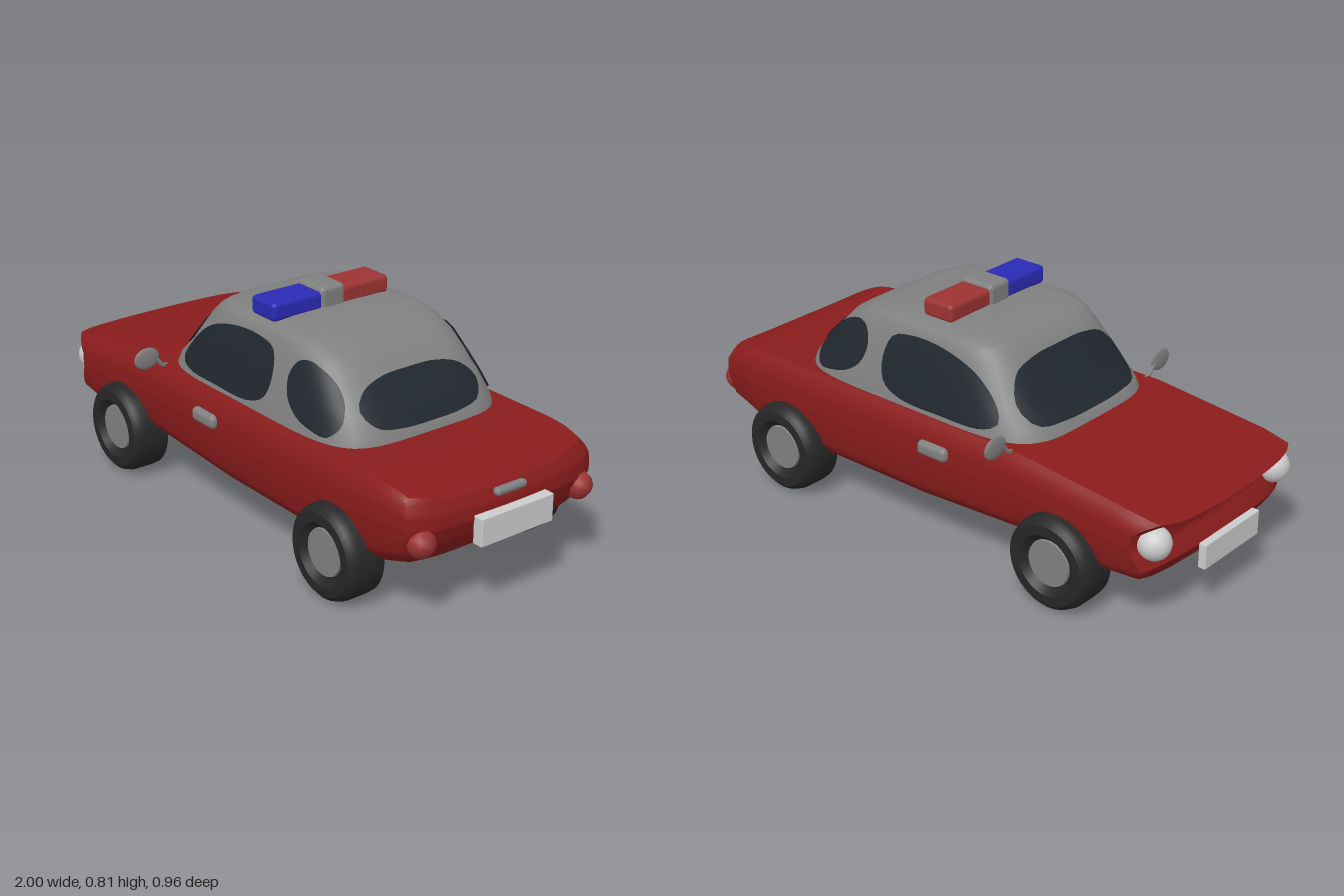
import * as THREE from 'three';
import { mergeVertices, toCreasedNormals } from 'three/addons/utils/BufferGeometryUtils.js';
import { RoundedBoxGeometry } from 'three/addons/geometries/RoundedBoxGeometry.js';

const mat = (color, side = THREE.FrontSide) => new THREE.MeshStandardMaterial({ color, side });
const RED = mat(0x8a1c1c), GREY = mat(0x808080), PALE = mat(0xcccccc), RUBBER = mat(0x262626);
const GLASS = mat(0x20272e, THREE.DoubleSide), LAMP_RED = mat(0x9c3333), LAMP_BLUE = mat(0x2a2ab4);

// Linear lookup in rows [key, value, value...]
function lookup(rows, k, col = 1) {
  if (k <= rows[0][0]) return rows[0][col];
  for (let i = 1; i < rows.length; i++) {
    const a = rows[i - 1], b = rows[i];
    if (k <= b[0]) return a[col] + (b[col] - a[col]) * (k - a[0]) / (b[0] - a[0]);
  }
  return rows[rows.length - 1][col];
}

// Lower body: nose at -x. Tables by length (x) or by height fraction (v)
const TOP = [[-1, .39], [-.85, .415], [-.43, .458], [0, .462], [.75, .462], [.85, .455], [.92, .435], [.97, .4]];
const BOTTOM = [[-.97, .2], [-.9, .165], [-.75, .15], [-.43, .165], [0, .14], [.6, .14], [.75, .165], [.9, .215], [.97, .27]];
const WIDTH = [[0, .31], [.1, .355], [.2, .378], [.4, .39], [.6, .396], [.8, .392], [.92, .38], [1, .36]];
const NOSE = [[0, -.9], [.12, -.94], [.25, -.955], [.4, -.94], [.55, -.92], [.75, -.925], [.88, -.96], [1, -1]];
const TAIL = [[0, .91], [.2, .95], [.5, .968], [.8, .965], [1, .945]];
const PLAN = [[-1, .96], [-.85, 1], [.8, 1], [.97, .95]];

function bodyGeometry() {
  const box = new THREE.BoxGeometry(1, 1, 1, 60, 20, 20);
  box.deleteAttribute('normal');
  box.deleteAttribute('uv');
  const g = mergeVertices(box), p = g.attributes.position;
  for (let i = 0; i < p.count; i++) {
    const u = p.getX(i) + .5, v = p.getY(i) + .5, t = p.getZ(i) * 2;
    const bow = .025 * t * t + .025 * t ** 8;
    const x = THREE.MathUtils.lerp(lookup(NOSE, v) + bow, lookup(TAIL, v) - bow, u);
    const y = THREE.MathUtils.lerp(lookup(BOTTOM, x), lookup(TOP, x), v);
    p.setXYZ(i, x, y, t * lookup(WIDTH, v) * lookup(PLAN, x));
  }
  return toCreasedNormals(g, .7);
}

// Cabin: rounded rectangles stacked by height [y, front x, rear x, half width]
const CABIN = [[.43, -.45, .615, .362], [.49, -.425, .6, .35], [.55, -.365, .555, .334], [.61, -.32, .5, .317],
  [.67, -.275, .445, .297], [.7, -.245, .395, .285], [.72, -.215, .35, .272], [.732, -.17, .3, .25],
  [.74, -.08, .2, .18], [.743, .05, .06, .005]];
const N = 5;
const cabinAt = (y) => {
  const f = lookup(CABIN, y, 1), r = lookup(CABIN, y, 2);
  return { cx: (f + r) / 2, a: (r - f) / 2, b: lookup(CABIN, y, 3) };
};

function gridGeometry(rows, cols, point) {
  const pos = [], index = [];
  for (let i = 0; i < rows; i++) for (let j = 0; j < cols; j++) pos.push(...point(i, j));
  for (let i = 0; i < rows - 1; i++) for (let j = 0; j < cols; j++) {
    const a = i * cols + j, b = i * cols + (j + 1) % cols;
    index.push(a, a + cols, b, b, a + cols, b + cols);
  }
  const g = new THREE.BufferGeometry();
  g.setAttribute('position', new THREE.Float32BufferAttribute(pos, 3));
  g.setIndex(index);
  g.computeVertexNormals();
  return g;
}

const cabinGeometry = () => gridGeometry(CABIN.length, 96, (i, j) => {
  const y = CABIN[i][0], { cx, a, b } = cabinAt(y), q = j / 96 * Math.PI * 2;
  const c = Math.cos(q), s = Math.sin(q);
  const r = (Math.abs(c) ** N + Math.abs(s) ** N) ** (-1 / N);
  return [cx + a * r * c, y, b * r * s];
});

// Window pane: smooth outline filled with rings and laid on the cabin surface
function paneGeometry(outline, place) {
  const curve = new THREE.CatmullRomCurve3(outline.map(([h, y]) => new THREE.Vector3(h, y, 0)), true);
  const edge = curve.getSpacedPoints(48).slice(0, 48), mid = new THREE.Vector3();
  edge.forEach((e) => mid.addScaledVector(e, 1 / 48));
  return gridGeometry(13, 48, (i, j) => {
    const e = mid.clone().lerp(edge[j], 1 - i / 12 * .999);
    return place(e.x, e.y);
  });
}
const LIFT = .006;
const onSide = (s) => (x, y) => {
  const { cx, a, b } = cabinAt(y), k = Math.min(1, Math.abs((x - cx) / (a + LIFT)));
  return [x, y, s * (b + LIFT) * (1 - k ** N) ** (1 / N)];
};
const onEnd = (s) => (z, y) => {
  const { cx, a, b } = cabinAt(y), k = Math.min(1, Math.abs(z / (b + LIFT)));
  return [cx + s * (a + LIFT) * (1 - k ** N) ** (1 / N), y, z];
};
const mirrored = (half) => [...half, ...half.slice(1, -1).reverse().map(([z, y]) => [-z, y])];

const DOOR_WINDOW = [[-.3, .51], [-.25, .485], [-.08, .48], [.1, .485], [.18, .52], [.2, .59], [.175, .67],
  [.1, .69], [-.05, .685], [-.18, .645], [-.27, .57]];
const QUARTER_WINDOW = [[.275, .62], [.3, .67], [.345, .68], [.43, .645], [.5, .575], [.52, .52], [.49, .485],
  [.42, .49], [.34, .515], [.29, .56]];
const REAR_WINDOW = mirrored([[0, .637], [.12, .632], [.2, .607], [.24, .56], [.21, .515], [.12, .498], [0, .495]]);
const WINDSCREEN = mirrored([[0, .675], [.14, .67], [.22, .645], [.27, .56], [.255, .51], [.14, .495], [0, .492]]);

export function createModel() {
  const car = new THREE.Group();
  const add = (name, geometry, material, x = 0, y = 0, z = 0) => {
    const m = new THREE.Mesh(geometry, material);
    m.name = name;
    m.position.set(x, y, z);
    car.add(m);
    return m;
  };
  const block = (w, h, d, r) => new RoundedBoxGeometry(w, h, d, 3, r);

  add('body', bodyGeometry(), RED);
  add('cabin', cabinGeometry(), GREY);
  add('windscreen', paneGeometry(WINDSCREEN, onEnd(-1)), GLASS);
  add('rearWindow', paneGeometry(REAR_WINDOW, onEnd(1)), GLASS);

  // Roof light bar
  add('lightBarCentre', block(.14, .085, .1, .018), GREY, .055, .767, .02);
  add('blueLight', block(.126, .065, .2, .016), LAMP_BLUE, .056, .763, .16);
  add('redLight', block(.126, .065, .2, .016), LAMP_RED, .056, .763, -.117);

  // Plates and boot handle
  add('frontPlate', block(.028, .088, .295, .004), PALE, -.97, .208, 0);
  add('rearPlate', block(.04, .095, .295, .004), PALE, .98, .303, 0);
  add('bootHandle', block(.03, .026, .125, .012), GREY, .958, .399, 0);

  // Wheel profile: radius against distance outwards
  const tyre = toCreasedNormals(new THREE.LatheGeometry([[0, 0], [.145, 0], [.158, .01], [.16, .03], [.16, .1],
    [.152, .125], [.138, .137], [.105, .138], [.082, .115], [0, .115]].map(([r, h]) => new THREE.Vector2(r, h)), 40), .6);
  const hub = new THREE.CylinderGeometry(.078, .084, .02, 32);

  for (const s of [1, -1]) {
    const side = s > 0 ? 'Near' : 'Far';
    add('doorWindow' + side, paneGeometry(DOOR_WINDOW, onSide(s)), GLASS);
    add('quarterWindow' + side, paneGeometry(QUARTER_WINDOW, onSide(s)), GLASS);
    add('doorHandle' + side, block(.125, .05, .04, .019), GREY, -.083, .37, s * .395);

    for (const [name, x] of [['front', -.594], ['rear', .6]]) {
      add(name + 'Tyre' + side, tyre, RUBBER, x, .162, s * .31).rotation.x = s * Math.PI / 2;
      add(name + 'Hub' + side, hub, GREY, x, .165, s * .423).rotation.x = s * Math.PI / 2;
    }

    add('headlight' + side, new THREE.SphereGeometry(.055, 20, 14), PALE, -.915, .315, s * .325);
    add('tailLight' + side, new THREE.SphereGeometry(.048, 8, 6), LAMP_RED, .928, .3, s * .325);

    // Door mirror on a curved stalk
    add('mirror' + side, new THREE.SphereGeometry(1, 24, 12), GREY, -.377, .495, s * .432).scale.set(.009, .038, .05);
    const stalk = new THREE.CatmullRomCurve3([[.345, .45], [.37, .458], [.385, .475], [.4, .49]]
      .map(([z, y]) => new THREE.Vector3(-.377, y, s * z)));
    add('mirrorStalk' + side, new THREE.TubeGeometry(stalk, 10, .008, 8), GREY);
  }
  return car;
}
